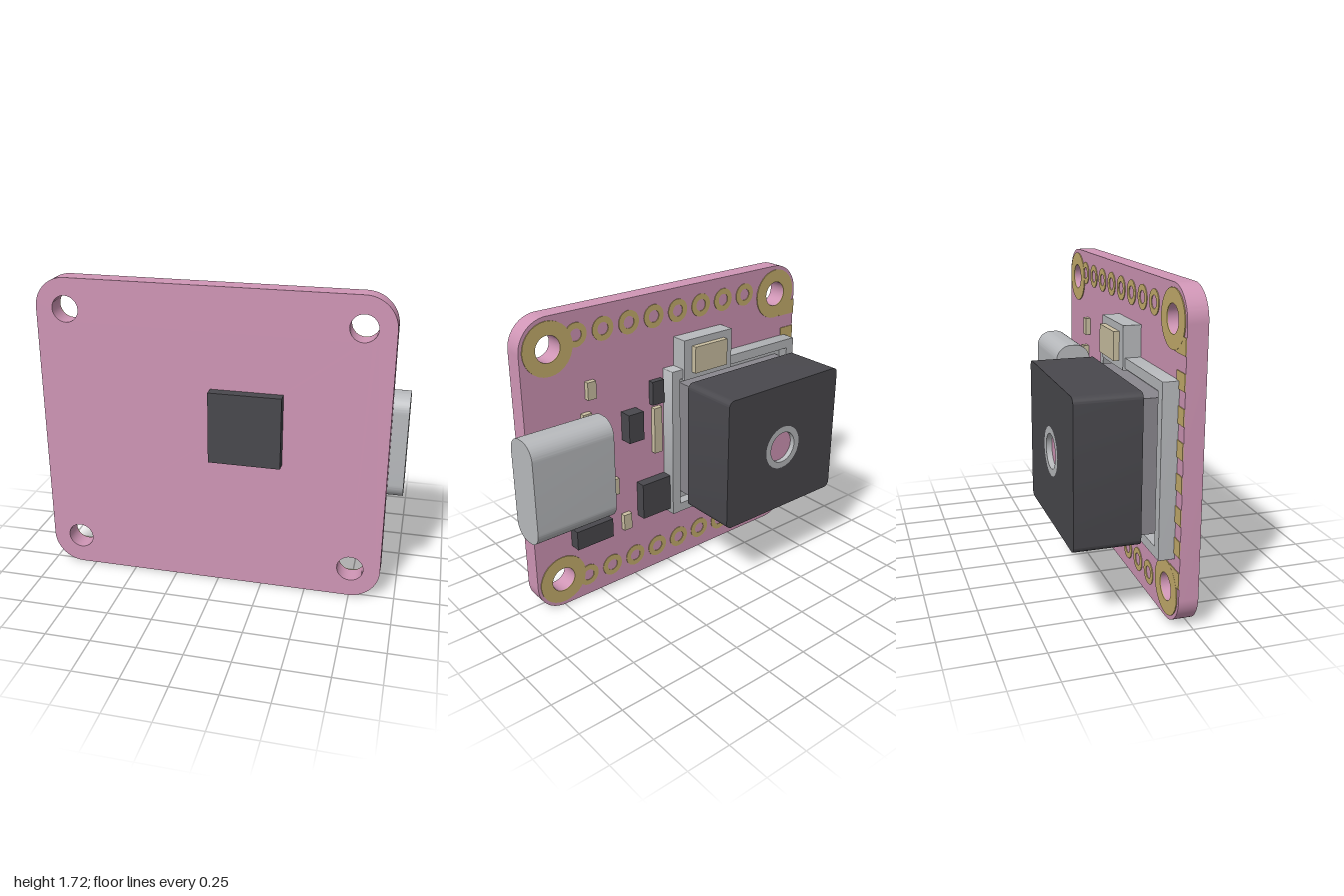
import * as THREE from 'three';
import { toCreasedNormals } from 'three/addons/utils/BufferGeometryUtils.js';

const mat = (name, color) => {
  const m = new THREE.MeshStandardMaterial({ color });
  m.name = name;
  return m;
};

export function createModel() {
  const model = new THREE.Group();
  model.name = 'cameraBoard';
  const pink = mat('pink', 0xd096b6);
  const dark = mat('charcoal', 0x49484d);
  const silver = mat('silver', 0xb8babd);
  const grey = mat('mid grey', 0x8a888e);
  const tan = mat('tan', 0xcbc0a2);
  const gold = mat('gold', 0xc6ae6c);

  const BACK = 0.165, FRONT = 0.27; // board faces

  const add = (name, geometry, material) => {
    const mesh = new THREE.Mesh(geometry, material);
    mesh.name = name;
    model.add(mesh);
    return mesh;
  };
  // box given by its limits on each axis
  const box = (name, material, x0, x1, y0, y1, z0, z1) => {
    const mesh = add(name, new THREE.BoxGeometry(x1 - x0, y1 - y0, z1 - z0), material);
    mesh.position.set((x0 + x1) / 2, (y0 + y1) / 2, (z0 + z1) / 2);
    return mesh;
  };
  const roundRect = (x0, x1, y0, y1, r) => {
    const s = new THREE.Shape();
    s.absarc(x1 - r, y0 + r, r, -Math.PI / 2, 0);
    s.absarc(x1 - r, y1 - r, r, 0, Math.PI / 2);
    s.absarc(x0 + r, y1 - r, r, Math.PI / 2, Math.PI);
    s.absarc(x0 + r, y0 + r, r, Math.PI, Math.PI * 1.5);
    s.closePath();
    return s;
  };
  const hole = (shape, x, y, r) => {
    shape.holes.push(new THREE.Path().absarc(x, y, r, 0, Math.PI * 2, true));
    return shape;
  };
  const extrude = (shape, z0, z1) => {
    const g = new THREE.ExtrudeGeometry(shape, { depth: z1 - z0, bevelEnabled: false, curveSegments: 14 });
    g.translate(0, 0, z0);
    return toCreasedNormals(g, 0.6);
  };
  const ring = (x, y, outer, inner, z0, z1) => {
    const s = new THREE.Shape().absarc(x, y, outer, 0, Math.PI * 2);
    return extrude(hole(s, x, y, inner), z0, z1);
  };

  // circuit board with four mounting holes
  const corners = [];
  for (const x of [-0.835, 0.75]) for (const y of [0.17, 1.545]) corners.push([x, y]);
  const boardShape = roundRect(-1, 0.915, 0, 1.715, 0.17);
  corners.forEach(([x, y]) => hole(boardShape, x, y, 0.073));
  add('board', extrude(boardShape, BACK, FRONT), pink);

  // gold pads on the back: corner rings, pin rows, edge contacts
  const padZ = BACK - 0.005;
  corners.forEach(([x, y]) => add('mountingPad', ring(x, y, 0.147, 0.073, padZ, BACK), gold));
  for (let i = 0; i < 8; i++) {
    const x = 0.581 - i * 0.1667;
    for (const y of [0.13, 1.585]) add('pinPad', ring(x, y, 0.066, 0.034, padZ + 0.001, BACK), gold);
    const y = 0.274 + i * 0.1667;
    const inner = i === 0 || i === 7 ? -0.88 : -0.9;
    box('edgePad', gold, -1, inner, y - 0.043, y + 0.043, padZ + 0.0005, BACK);
  }

  // processor on the front
  box('frontChip', dark, -0.04, 0.355, 0.76, 1.16, FRONT, 0.33);

  // rounded port, its profile swept along x
  const port = extrude(roundRect(-0.165, 0.045, 0.565, 1.155, 0.09), 0.51, 1);
  port.rotateY(Math.PI / 2);
  add('port', port, silver);

  // camera socket: open tray with a raised tab
  const tray = roundRect(-0.93, 0.02, 0.365, 1.27, 0.002);
  const opening = roundRect(-0.875, -0.035, 0.42, 1.215, 0.002);
  tray.holes.push(new THREE.Path(opening.getPoints(2).reverse()));
  add('socketFrame', extrude(tray, 0.08, BACK), silver);
  box('socketFloor', silver, -0.88, -0.03, 0.415, 1.22, 0.14, BACK - 0.001);
  box('socketTab', silver, -0.405, -0.055, 1.205, 1.44, 0.067, BACK);
  box('tabPart', tan, -0.345, -0.11, 1.245, 1.4, 0.035, 0.067);

  // camera module
  const cx = -0.455, cy = 0.82;
  box('cameraBase', grey, -0.835, -0.075, 0.47, 1.17, 0.01, 0.14);
  const body = roundRect(-0.875, -0.035, 0.43, 1.21, 0.035);
  add('cameraBody', extrude(hole(body, cx, cy, 0.13), -0.335, 0.01), dark);
  add('lensRing', ring(cx, cy, 0.13, 0.093, -0.335, -0.3), silver);
  const lens = add('lens', new THREE.CircleGeometry(0.13, 32), pink);
  lens.rotation.y = Math.PI;
  lens.position.set(cx, cy, -0.305);

  // small dark chips: x0, x1, y0, y1, z
  for (const [x0, x1, y0, y1, z] of [
    [0.215, 0.315, 0.915, 1.085, 0.09],
    [0.04, 0.12, 1.08, 1.22, 0.13],
    [0.44, 0.68, 0.365, 0.48, 0.1],
    [0.022, 0.22, 0.395, 0.615, 0.105],
  ]) box('chip', dark, x0, x1, y0, y1, z, BACK);

  // small tan parts: x, y, height
  for (const [x, y, h] of [
    [0.515, 1.27, 0.1], [0.55, 1.095, 0.1], [0.39, 0.65, 0.1], [0.31, 0.395, 0.1], [0.08, 0.915, 0.28],
  ]) box('resistor', tan, x - 0.027, x + 0.027, y - h / 2, y + h / 2, 0.135, BACK);

  return model;
}
